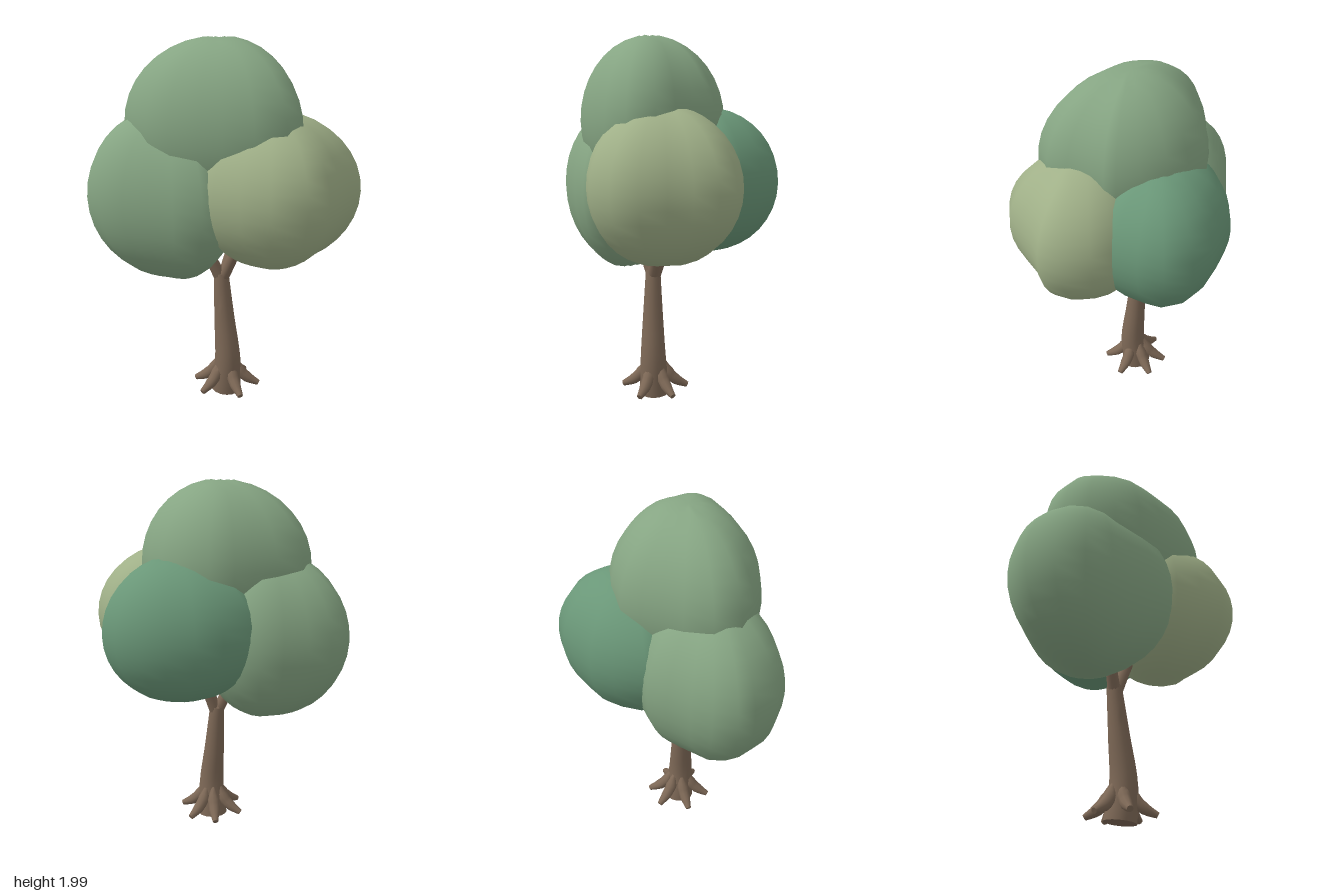
import * as THREE from 'three';
import { mergeVertices, toCreasedNormals } from 'three/addons/utils/BufferGeometryUtils.js';

const bark = new THREE.MeshStandardMaterial({ color: 0x7d6856 });
const leaf = (color) => new THREE.MeshStandardMaterial({ color });

// Tapered limb along a curve, closed with blunt ends
function limb(name, points, radii, sides = 12, segments = 12) {
  const curve = new THREE.CatmullRomCurve3(points.map((p) => new THREE.Vector3(...p)));
  const tube = new THREE.TubeGeometry(curve, segments, 1, sides);
  const pos = tube.attributes.position;
  const v = new THREE.Vector3();
  const verts = [], index = [];
  for (let i = 0; i <= segments; i++) {
    const u = i / segments;
    const centre = curve.getPointAt(u);
    const f = u * (radii.length - 1);
    const k = Math.min(Math.floor(f), radii.length - 2);
    const r = THREE.MathUtils.lerp(radii[k], radii[k + 1], f - k);
    const ring = (radius) => {
      for (let s = 0; s <= sides; s++) {
        v.fromBufferAttribute(pos, i * (sides + 1) + s).sub(centre).multiplyScalar(radius).add(centre);
        verts.push(v.x, v.y, v.z);
      }
    };
    if (i === 0) ring(0);
    ring(r);
    if (i === segments) ring(0);
  }
  for (let j = 0; j < segments + 2; j++) {
    for (let s = 0; s < sides; s++) {
      const a = j * (sides + 1) + s, b = a + sides + 1;
      index.push(a, b, a + 1, b, b + 1, a + 1);
    }
  }
  const geo = new THREE.BufferGeometry();
  geo.setAttribute('position', new THREE.Float32BufferAttribute(verts, 3));
  geo.setIndex(index);
  const material = bark.clone();
  material.side = THREE.DoubleSide;
  const mesh = new THREE.Mesh(toCreasedNormals(geo, 0.9), material);
  mesh.name = name;
  return mesh;
}

// Foliage clump: a plan outline (x, z) swept over a round profile, pinched at both poles
function clump(name, color, [cx, cy, cz], ry, outline) {
  const rings = 18, n = outline.length;
  const verts = [], index = [];
  for (let j = 0; j <= rings; j++) {
    const t = (j / rings) * Math.PI;
    const s = j === 0 || j === rings ? 0 : Math.sin(t);
    const nearPole = Math.min(j, rings - j);
    outline.forEach(([x, z], i) => {
      const pucker = nearPole === 0 ? 0.012 : nearPole === 1 ? 0.006 * (i % 2) : 0;
      verts.push(cx + (x - cx) * s, cy + Math.cos(t) * ry - Math.sign(Math.cos(t)) * pucker, cz + (z - cz) * s);
    });
  }
  for (let j = 0; j < rings; j++) {
    for (let i = 0; i < n; i++) {
      const a = j * n + i, b = a + n, d = j * n + ((i + 1) % n), c = d + n;
      if (j < rings - 1) index.push(a, b, c);
      if (j > 0) index.push(a, c, d);
    }
  }
  let geo = new THREE.BufferGeometry();
  geo.setAttribute('position', new THREE.Float32BufferAttribute(verts, 3));
  geo.setIndex(index);
  geo = mergeVertices(geo, 1e-5);
  geo.computeVertexNormals();
  const mesh = new THREE.Mesh(geo, leaf(color));
  mesh.name = name;
  return mesh;
}

export function createModel() {
  const tree = new THREE.Group();
  tree.name = 'tree';

  // Trunk and the branches that fork into the foliage
  tree.add(limb('trunk', [[0.025, 0.012, 0.1], [0.04, 0.2, 0.113], [0.018, 0.45, 0.107], [-0.005, 0.72, 0.098]],
    [0.086, 0.07, 0.055, 0.041], 16));
  tree.add(limb('rightBranch', [[-0.005, 0.69, 0.1], [-0.06, 0.82, 0.13], [-0.14, 1.0, 0.15]], [0.036, 0.03, 0.025]));
  tree.add(limb('leftBranch', [[0.005, 0.69, 0.1], [0.06, 0.81, 0.1], [0.15, 1.0, 0.11]], [0.034, 0.031, 0.028]));
  tree.add(limb('backBranch', [[0.005, 0.69, 0.092], [0.035, 0.82, 0.055], [0.07, 1.0, -0.02]], [0.034, 0.032, 0.028]));

  // Roots flaring around the foot
  const roots = new THREE.Group();
  roots.name = 'roots';
  for (const deg of [45, 118, 175, 235, 285, 345]) {
    const a = THREE.MathUtils.degToRad(deg);
    const at = (r, y) => [0.028 + Math.cos(a) * r, y, 0.1 + Math.sin(a) * r];
    roots.add(limb('root', [at(0.045, 0.2), at(0.075, 0.125), at(0.12, 0.08), at(0.185, 0.046)],
      [0.012, 0.034, 0.031, 0.016], 10, 9));
  }
  tree.add(roots);

  // Foliage
  tree.add(clump('topFoliage', 0x86a583, [0, 1.55, 0.12], 0.45, [
    [-0.5, 0.11], [-0.49, 0.25], [-0.4, 0.34], [-0.28, 0.42], [-0.14, 0.465], [0.02, 0.465], [0.14, 0.455],
    [0.29, 0.435], [0.43, 0.365], [0.475, 0.235], [0.44, 0.12], [0.39, 0], [0.375, -0.08], [0.34, -0.13],
    [0.25, -0.2], [0.13, -0.265], [0, -0.28], [-0.15, -0.26], [-0.25, -0.18], [-0.32, -0.1], [-0.41, -0.01]]));
  tree.add(clump('rightFoliage', 0x86a583, [-0.25, 1.17, 0.17], 0.47, [
    [-0.73, 0.175], [-0.72, 0.26], [-0.65, 0.4], [-0.53, 0.485], [-0.38, 0.51], [-0.25, 0.505], [-0.1, 0.515],
    [0.05, 0.5], [0.12, 0.43], [0.14, 0.32], [0.13, 0.2], [0.11, 0.08], [0.05, -0.03], [-0.04, -0.12],
    [-0.15, -0.18], [-0.27, -0.21], [-0.4, -0.19], [-0.5, -0.11], [-0.6, -0.02], [-0.69, 0.06]]));
  tree.add(clump('leftFoliage', 0xa0b088, [0.28, 1.23, 0.14], 0.41, [
    [-0.1, 0.15], [-0.09, 0.27], [-0.04, 0.37], [0.02, 0.44], [0.1, 0.49], [0.25, 0.525], [0.41, 0.545],
    [0.57, 0.485], [0.645, 0.37], [0.67, 0.24], [0.69, 0.12], [0.73, 0.01], [0.68, -0.1], [0.56, -0.19],
    [0.45, -0.23], [0.32, -0.23], [0.2, -0.2], [0.08, -0.14], [0, -0.06], [-0.07, 0.04]]));
  tree.add(clump('backFoliage', 0x6a9778, [0.09, 1.23, -0.17], 0.395, [
    [-0.36, -0.18], [-0.36, -0.07], [-0.29, 0.03], [-0.18, 0.11], [-0.05, 0.15], [0.1, 0.16], [0.24, 0.12],
    [0.36, 0.05], [0.43, -0.05], [0.465, -0.15], [0.46, -0.23], [0.42, -0.36], [0.36, -0.48], [0.23, -0.545],
    [0.08, -0.535], [-0.03, -0.495], [-0.17, -0.43], [-0.27, -0.33]]));
  return tree;
}
